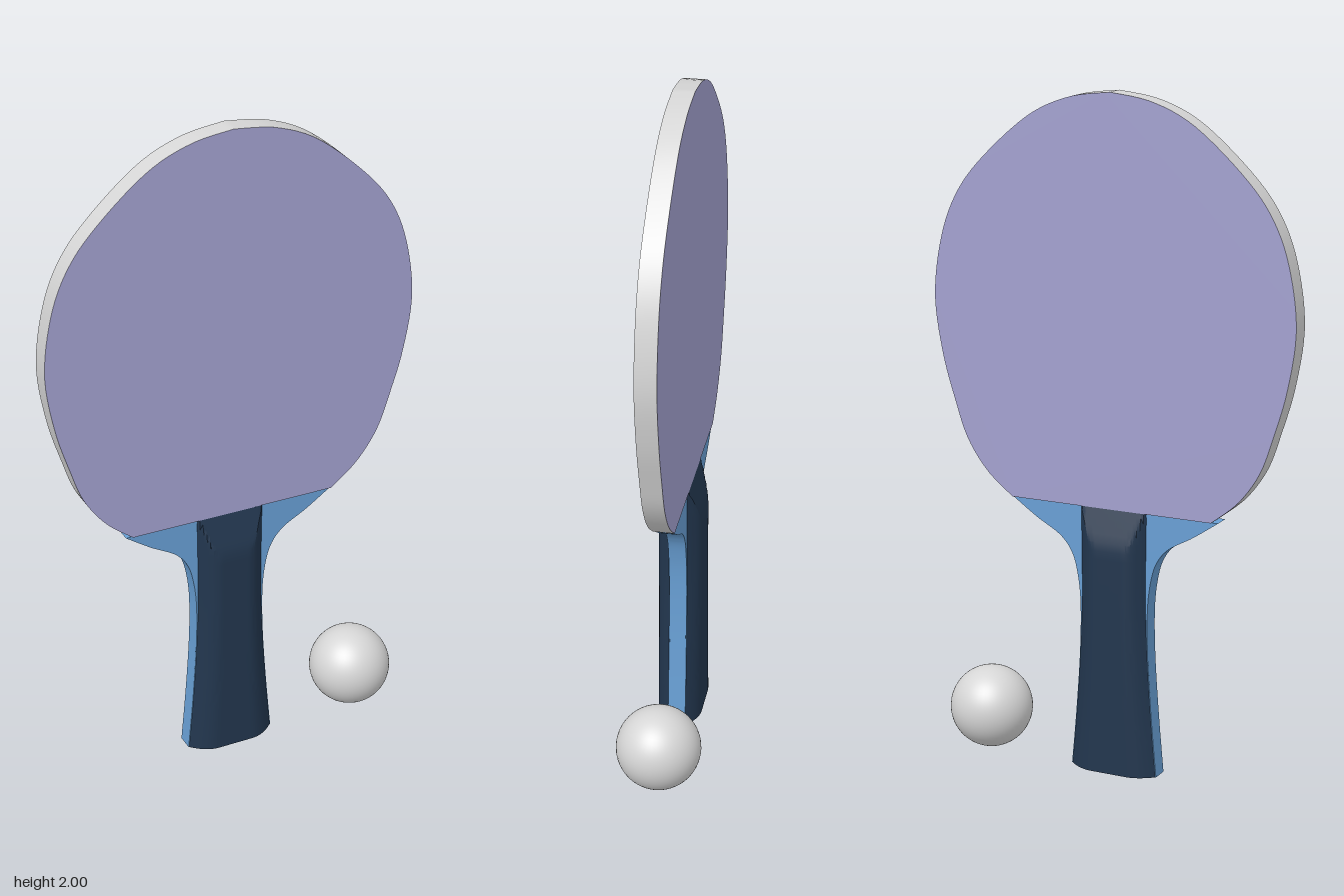
import * as THREE from 'three';
import { toCreasedNormals } from 'three/addons/utils/BufferGeometryUtils.js';

const mat = (name, color) => Object.assign(new THREE.MeshStandardMaterial({ color }), { name });
const v2 = ([x, y]) => new THREE.Vector2(x, y);

// Smooth curve through a half outline
const smooth = (pts, n) => new THREE.SplineCurve(pts.map(v2)).getPoints(n);
const mirror = (pts, cx) => pts.map(p => new THREE.Vector2(2 * cx - p.x, p.y)).reverse();

// Flat plate with smooth edge, centred on z = 0
function plate(points, halfDepth) {
  const g = new THREE.ExtrudeGeometry(new THREE.Shape(points), { depth: 2 * halfDepth, bevelEnabled: false });
  g.translate(0, 0, -halfDepth);
  return toCreasedNormals(g, 0.5);
}

// Flared half width of the handle along its height
const flare = new THREE.SplineCurve([[0.138, 0], [0.122, 0.18], [0.110, 0.36], [0.104, 0.54], [0.106, 0.8]].map(v2));
const HANDLE_X = -0.01;

// One half of the grip: arched section swept up the handle, cut by a slanted plane at the top
function gripHalf(side, depth) {
  const cols = 28, rows = 48, inner = 0.024, pos = [], idx = [];
  const tri = (a, b, c) => (side > 0 ? idx.push(a, b, c) : idx.push(a, c, b));
  for (let r = 0; r <= rows; r++) {
    const p = flare.getPoint(r / rows);
    const cut = THREE.MathUtils.mapLinear(p.y, 0.69, 0.8, depth, 0.031);
    for (let c = 0; c <= cols; c++) {
      const u = (c / cols) * 2 - 1;
      const t = Math.max(0, (Math.abs(u) - 0.4) / 0.6);
      const z = Math.min(inner + (depth - inner) * (1 - t * t), cut);
      pos.push(HANDLE_X + u * p.x, p.y, side * z);
    }
  }
  const w = cols + 1;
  for (let r = 0; r < rows; r++) {
    for (let c = 0; c < cols; c++) {
      const a = r * w + c;
      tri(a, a + 1, a + w + 1);
      tri(a, a + w + 1, a + w);
    }
  }
  // Bottom cap
  for (let c = 1; c < cols; c++) tri(0, c + 1, c);
  const g = new THREE.BufferGeometry();
  g.setAttribute('position', new THREE.Float32BufferAttribute(pos, 3));
  g.setIndex(idx);
  return toCreasedNormals(g, 0.3);
}

export function createModel() {
  const group = new THREE.Group();
  const rubber = mat('lavender rubber', 0xa3a1cf);
  const grey = mat('light grey', 0xd6d6d6);
  const blue = mat('blue wood', 0x689fd4);
  const navy = mat('navy grip', 0x22364e);
  const add = (name, geometry, material) => {
    const m = new THREE.Mesh(geometry, material);
    m.name = name;
    group.add(m);
    return m;
  };

  // Paddle head: lavender faces, grey rim
  const headHalf = smooth([
    [0.318, 0.8], [0.40, 0.868], [0.465, 0.96], [0.505, 1.07], [0.545, 1.21], [0.568, 1.38],
    [0.545, 1.55], [0.495, 1.68], [0.41, 1.79], [0.26, 1.92], [0.13, 1.98], [0, 2],
  ], 60);
  add('head', plate([...headHalf, ...mirror(headHalf, 0).slice(1)], 0.031), [rubber, grey]);

  // Neck and handle core in one board
  const neckHalf = smooth([
    [0.128, 0], [0.112, 0.18], [0.100, 0.36], [0.098, 0.5], [0.107, 0.59], [0.126, 0.655],
    [0.165, 0.703], [0.24, 0.747], [0.318, 0.8],
  ], 60);
  add('neckAndCore', plate([...neckHalf, ...mirror(neckHalf, HANDLE_X)], 0.026), blue);

  // Grip halves on both sides of the core
  add('frontGrip', gripHalf(1, 0.068), navy);
  add('backGrip', gripHalf(-1, 0.063), navy);

  // Ball
  add('ball', new THREE.SphereGeometry(0.124, 48, 32), grey).position.set(0.413, 0.126, 0);

  return group;
}
